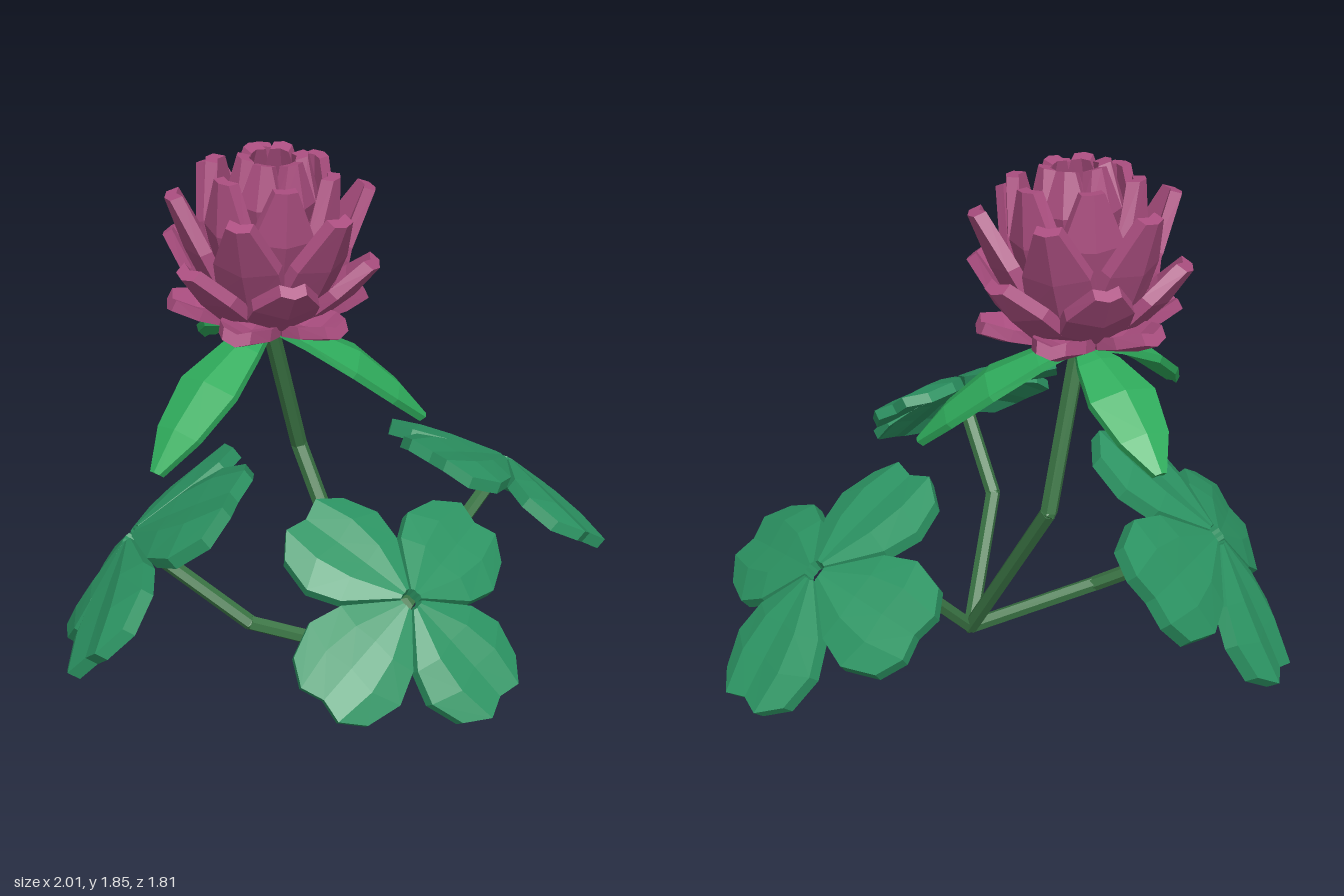
import * as THREE from 'three';

const mat = (name, color) => Object.assign(new THREE.MeshStandardMaterial({ color }), { name });
const V = (x, y, z) => new THREE.Vector3(x, y, z);

// Faceted slab: rows run along +z, columns along +x, thickness drops below the top face
function slab(rows, thickness) {
  const mid = Math.floor(rows[0].length / 2);
  const low = rows.map((row, r) => {
    const a = rows[Math.max(r - 1, 0)][mid];
    const b = rows[Math.min(r + 1, rows.length - 1)][mid];
    const t = b.clone().sub(a).normalize();
    const drop = V(0, -t.z, t.y).multiplyScalar(thickness);
    return row.map(p => p.clone().add(drop));
  });
  const out = [];
  const quad = (a, b, c, d) => [a, b, c, a, c, d].forEach(p => out.push(p.x, p.y, p.z));
  const R = rows.length - 1, C = rows[0].length - 1;
  for (let r = 0; r < R; r++) {
    for (let c = 0; c < C; c++) {
      quad(rows[r][c], rows[r + 1][c], rows[r + 1][c + 1], rows[r][c + 1]);
      quad(low[r][c], low[r][c + 1], low[r + 1][c + 1], low[r + 1][c]);
    }
  }
  // rim
  const loop = [];
  for (let r = 0; r < R; r++) loop.push([r, 0]);
  for (let c = 0; c < C; c++) loop.push([R, c]);
  for (let r = R; r > 0; r--) loop.push([r, C]);
  for (let c = C; c > 0; c--) loop.push([0, c]);
  loop.forEach(([r, c], i) => {
    const [s, d] = loop[(i + 1) % loop.length];
    quad(rows[r][c], low[r][c], low[s][d], rows[s][d]);
  });
  const g = new THREE.BufferGeometry();
  g.setAttribute('position', new THREE.Float32BufferAttribute(out, 3));
  g.computeVertexNormals();
  return g;
}

// Turn an object so its y is the normal and its z follows a direction
function orient(obj, normal, dir) {
  const n = normal.clone().normalize();
  const z = dir.clone().addScaledVector(n, -dir.dot(n)).normalize();
  const x = n.clone().cross(z);
  obj.quaternion.setFromRotationMatrix(new THREE.Matrix4().makeBasis(x, n, z));
}

// Notched, pleated, drooping leaflet of unit length
function leafletGeometry() {
  const across = [-1, -0.5, 0, 0.5, 1];
  const stations = [[0.07, 0.05], [0.43, 0.345], [0.7, 0.43], [1, 0.35]];
  return slab(stations.map(([f, w]) => across.map(s => {
    const a = Math.abs(s);
    const end = a === 1 ? 0.86 : a === 0.5 ? 1 : 0.95;
    const pleat = a === 1 ? -0.12 : a === 0.5 ? 0.05 : 0;
    const z = f * end;
    return V(s * w, pleat * w - 0.16 * z - 0.05 * z * z, z);
  })), 0.09);
}

// Lance-shaped arched leaf under the flower
function bractGeometry(length) {
  const stations = [[0, 0.02], [0.22, 0.075], [0.5, 0.115], [0.78, 0.085], [1, 0.02]];
  return slab(stations.map(([f, w]) => [-1, 0, 1].map(s =>
    V(s * w, 0.07 * Math.sin(Math.PI * f) - Math.abs(s) * w * 0.25, f * length))), 0.025);
}

// Keeled petal following a profile of [radius, height, half width], edges curled inward
function petalGeometry(profile) {
  return slab(profile.map(([r, y, w], i) => {
    const [r0, y0] = profile[Math.max(i - 1, 0)];
    const [r1, y1] = profile[Math.min(i + 1, profile.length - 1)];
    const len = Math.hypot(r1 - r0, y1 - y0);
    return [-1, 0, 1].map(s => {
      const curl = Math.abs(s) * 0.35 * w;
      return V(s * w, y + curl * (r1 - r0) / len, r - curl * (y1 - y0) / len);
    });
  }), 0.04);
}

export function createModel() {
  const model = new THREE.Group();
  model.name = 'cloverPlant';
  const stemMat = mat('stem green', 0x3a7444);
  const leafMat = mat('leaf green', 0x2c9463);
  const bractMat = mat('bright green', 0x2fac5c);
  const petalMat = mat('petal pink', 0xab4e80);

  // Stems: straight hexagonal pieces with a joint at each bend
  const root = V(0, 0.03, 0.08);
  function addStem(name, points, radius) {
    const g = new THREE.Group();
    g.name = name;
    for (let i = 0; i + 1 < points.length; i++) {
      const d = points[i + 1].clone().sub(points[i]);
      const geo = new THREE.CylinderGeometry(radius, radius, d.length(), 6).toNonIndexed();
      geo.computeVertexNormals();
      const m = new THREE.Mesh(geo, stemMat);
      m.name = 'stemPiece';
      m.position.copy(points[i]).addScaledVector(d, 0.5);
      m.quaternion.setFromUnitVectors(V(0, 1, 0), d.normalize());
      g.add(m);
      const joint = new THREE.Mesh(new THREE.IcosahedronGeometry(radius, 0), stemMat);
      joint.name = 'stemJoint';
      joint.position.copy(points[i]);
      g.add(joint);
    }
    model.add(g);
  }
  const flowerBase = V(-0.15, 1.27, -0.285);
  addStem('flowerStem', [root, V(0.02, 0.72, -0.335), flowerBase], 0.029);

  // Four-part leaves on bent stems
  const leaflet = leafletGeometry();
  const leaves = [
    { name: 'leftLeaf', at: V(0.673, 0.58, 0.08), bend: V(0.24, 0.3, 0.1), n: V(0.58, 0.81, 0.08), dir: V(-0.02, -0.1, 0.94), size: 0.472 },
    { name: 'frontLeaf', at: V(-0.395, 0.722, 0.61), bend: V(-0.28, 0.4, 0.27), n: V(-0.16, 0.77, 0.62), dir: V(0.18, -0.38, 0.5), size: 0.417 },
    { name: 'backLeaf', at: V(-0.57, 0.5, -0.575), bend: V(-0.35, 0.2, -0.2), n: V(-0.45, 0.68, -0.59), dir: V(0.19, 0.74, 0.78), size: 0.53 },
  ];
  for (const { name, at, bend, n, dir, size } of leaves) {
    const leaf = new THREE.Group();
    leaf.name = name;
    for (let i = 0; i < 4; i++) {
      const m = new THREE.Mesh(leaflet, leafMat);
      m.name = 'leaflet';
      m.rotation.y = i * Math.PI / 2;
      leaf.add(m);
    }
    leaf.position.copy(at);
    leaf.scale.setScalar(size);
    orient(leaf, n, dir);
    model.add(leaf);
    addStem(name + 'Stem', [root, bend, at.clone().addScaledVector(n, -0.07)], 0.027);
  }

  // Three hanging bracts
  for (const tip of [V(-0.7, 0.94, -0.22), V(0.24, 0.91, 0.07), V(-0.02, 1.04, -0.77)]) {
    const d = tip.clone().sub(flowerBase);
    const m = new THREE.Mesh(bractGeometry(d.length()), bractMat);
    m.name = 'bract';
    m.position.copy(flowerBase);
    const side = V(0, 1, 0).cross(d);
    orient(m, d.clone().cross(side), d);
    model.add(m);
  }

  // Flower head: alternating rings of six petals, from low and open to closed over the top
  const flower = new THREE.Group();
  flower.name = 'flowerHead';
  flower.position.copy(flowerBase);
  flower.rotation.x = 0.08;
  const rings = [
    [[0.03, 0.03, 0.03], [0.17, 0.045, 0.095], [0.24, 0.065, 0.085], [0.315, 0.1, 0.045]],
    [[0.04, 0.04, 0.03], [0.18, 0.095, 0.11], [0.255, 0.17, 0.105], [0.33, 0.275, 0.04]],
    [[0.03, 0.05, 0.03], [0.175, 0.15, 0.115], [0.24, 0.29, 0.105], [0.3, 0.46, 0.038]],
    [[0.03, 0.05, 0.03], [0.14, 0.2, 0.1], [0.185, 0.36, 0.1], [0.18, 0.53, 0.035]],
    [[0, 0.08, 0.03], [0.07, 0.28, 0.06], [0.11, 0.44, 0.07], [0.075, 0.565, 0.03]],
  ];
  rings.forEach((profile, k) => {
    const geo = petalGeometry(profile);
    for (let i = 0; i < 6; i++) {
      const m = new THREE.Mesh(geo, petalMat);
      m.name = 'petal';
      m.rotation.y = (i + (k % 2) / 2) * Math.PI / 3;
      flower.add(m);
    }
  });
  model.add(flower);
  return model;
}
